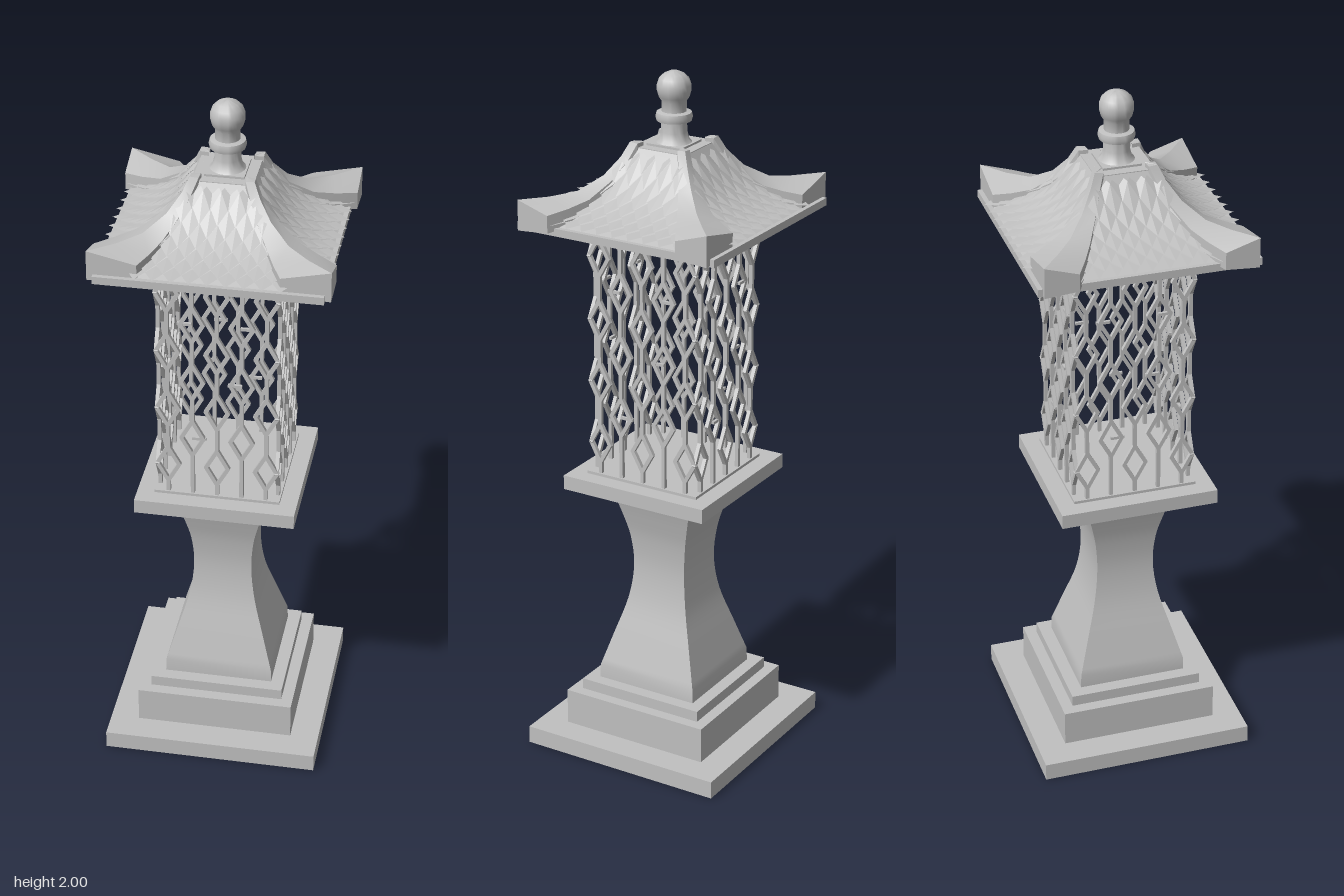
import * as THREE from 'three';
import { mergeGeometries, toCreasedNormals } from 'three/addons/utils/BufferGeometryUtils.js';

const stone = new THREE.MeshStandardMaterial({ color: 0xc0c0c0, side: THREE.DoubleSide });
stone.name = 'greyStone';

function add(parent, name, geometry) {
  const mesh = new THREE.Mesh(geometry, stone);
  mesh.name = name;
  parent.add(mesh);
  return mesh;
}

// Square slab given by half width and its bottom and top heights
function slab(parent, name, half, y0, y1) {
  add(parent, name, new THREE.BoxGeometry(half * 2, y1 - y0, half * 2)).position.y = (y0 + y1) / 2;
}

// Flat-faced geometry from quads of [x, y, z] corners
function fromQuads(quads) {
  const pos = [];
  for (const [a, b, c, d] of quads) pos.push(...a, ...b, ...c, ...a, ...c, ...d);
  const g = new THREE.BufferGeometry();
  g.setAttribute('position', new THREE.Float32BufferAttribute(pos, 3));
  g.computeVertexNormals();
  return g;
}

// Square bar between two points of a lattice panel
function bar(x0, y0, x1, y1, w = 0.011) {
  const dx = x1 - x0, dy = y1 - y0;
  const g = new THREE.BoxGeometry(w, Math.hypot(dx, dy) + w * 0.4, w);
  g.rotateZ(-Math.atan2(dx, dy));
  g.translate((x0 + x1) / 2, (y0 + y1) / 2, 0);
  return g;
}

// One lattice side: alternating chains of tall diamonds and straight links
function latticePanel() {
  const bars = [], y0 = 0.845, y1 = 1.59, pitch = 0.184, step = 0.069, hw = 0.031, hh = 0.056;
  for (let c = -2; c <= 2; c++) {
    const x = c * step, odd = c % 2 !== 0;
    let y = y0;
    for (let k = 0; k < (odd ? 3 : 4); k++) {
      const m = 0.942 + k * pitch + (odd ? pitch / 2 : 0);
      bars.push(bar(x, y, x, m - hh));
      for (const s of [-1, 1]) {
        bars.push(bar(x, m - hh, x + s * hw, m), bar(x + s * hw, m, x, m + hh));
      }
      y = m + hh;
    }
    bars.push(bar(x, y, x, y1));
  }
  // A few short cross ties
  for (const [x, y] of [[-0.09, 1.402], [0.085, 1.402], [0.05, 1.218], [-0.05, 1.034]]) {
    bars.push(bar(x - 0.018, y, x + 0.018, y, 0.008));
  }
  return mergeGeometries(bars);
}

// Roof slope: distance from centre, height, half width
const slope = [
  [0.3, 1.605, 0.205], [0.26, 1.62, 0.185], [0.22, 1.64, 0.165], [0.18, 1.668, 0.14],
  [0.15, 1.697, 0.122], [0.12, 1.735, 0.1], [0.1, 1.765, 0.085], [0.083, 1.793, 0.072],
];

function slopeAt(d) {
  if (d >= slope[0][0]) return [slope[0][1] - (d - 0.3) * 0.3, slope[0][2]];
  for (let i = 1; i < slope.length; i++) {
    const [d0, y0, w0] = slope[i - 1], [d1, y1, w1] = slope[i];
    if (d >= d1) {
      const t = (d0 - d) / (d0 - d1);
      return [y0 + (y1 - y0) * t, w0 + (w1 - w0) * t];
    }
  }
  return slope[slope.length - 1].slice(1);
}

function slopeGeometry() {
  const quads = [];
  for (let i = 1; i < slope.length; i++) {
    const [d0, y0, w0] = slope[i - 1], [d1, y1, w1] = slope[i];
    quads.push([[-w0, y0, d0], [w0, y0, d0], [w1, y1, d1], [-w1, y1, d1]]);
  }
  return toCreasedNormals(fromQuads(quads), 0.6);
}

// Staggered rows of kite-shaped tiles with lifted tips
function tileGeometry() {
  const quads = [], pitch = 0.0484;
  for (let r = 0; r < 8; r++) {
    const d = 0.318 - r * 0.0265, limit = slopeAt(d)[1] - 0.008;
    const at = (x, dist, lift) => [x, slopeAt(dist)[0] + lift, dist];
    for (let c = -5; c <= 5; c++) {
      const x = (c + (r % 2) / 2) * pitch;
      if (Math.abs(x) > limit) continue;
      quads.push([
        at(x, d, 0.017), at(x + pitch / 2, d - 0.034, 0.01),
        at(x, d - 0.064, 0.003), at(x - pitch / 2, d - 0.034, 0.01),
      ]);
    }
  }
  return fromQuads(quads);
}

// Corner ridge: left edge, crest, right edge and side depth at each station
function hipGeometry() {
  const stations = [
    [[0.19, 1.645, 0.295], [0.325, 1.675, 0.295], [0.325, 1.645, 0.2], 0.05],
    [[0.165, 1.655, 0.25], [0.255, 1.674, 0.238], [0.27, 1.655, 0.168], 0.05],
    [[0.14, 1.67, 0.2], [0.195, 1.682, 0.187], [0.213, 1.67, 0.138], 0.05],
    [[0.107, 1.712, 0.148], [0.14, 1.72, 0.138], [0.152, 1.712, 0.105], 0.045],
    [[0.08, 1.762, 0.108], [0.105, 1.768, 0.105], [0.108, 1.762, 0.08], 0.04],
    [[0.063, 1.806, 0.087], [0.087, 1.808, 0.087], [0.087, 1.806, 0.063], 0.04],
    [[0.06, 1.806, 0.062], [0.062, 1.808, 0.062], [0.062, 1.806, 0.06], 0.04],
  ].map(([l, c, r, depth], i) => {
    const low = (p) => [p[0], p[1] - depth, p[2]];
    const corner = i === 0 ? [c[0], 1.588, c[2]] : low(c);
    return [l, c, r, low(r), corner, low(l)];
  });
  const quads = [];
  for (let i = 0; i + 1 < stations.length; i++) {
    const a = stations[i], b = stations[i + 1];
    for (let j = 0; j < 6; j++) {
      const k = (j + 1) % 6;
      quads.push([a[j], a[k], b[k], b[j]]);
    }
  }
  const [l, c, r, rb, cb, lb] = stations[0];
  quads.push([l, lb, cb, c], [c, cb, rb, r]);
  return toCreasedNormals(fromQuads(quads), 0.4);
}

export function createModel() {
  const model = new THREE.Group();
  model.name = 'stoneLantern';

  // Stepped foot
  slab(model, 'basePlate', 0.309, 0, 0.052);
  slab(model, 'baseBlock', 0.227, 0.052, 0.158);
  slab(model, 'baseStep', 0.194, 0.158, 0.19);

  // Waisted square pillar: half width by height
  const waist = new THREE.SplineCurve([
    [0.156, 0.23], [0.127, 0.33], [0.096, 0.44], [0.084, 0.54], [0.09, 0.63], [0.105, 0.7], [0.12, 0.755],
  ].map(([r, y]) => new THREE.Vector2(r, y))).getPoints(24);
  const profile = [new THREE.Vector2(0.157, 0.19), ...waist, new THREE.Vector2(0.12, 0.79)];
  for (const p of profile) p.x *= Math.SQRT2;
  const pillar = new THREE.LatheGeometry(profile, 4).rotateY(Math.PI / 4);
  add(model, 'pillar', toCreasedNormals(pillar, 0.5));

  // Lamp platform
  slab(model, 'platformUnderside', 0.179, 0.783, 0.802);
  slab(model, 'platform', 0.227, 0.802, 0.844);
  slab(model, 'platformTop', 0.178, 0.844, 0.852);

  // Lattice cage, eave and tiled slopes on all four sides
  const panel = latticePanel(), face = slopeGeometry(), tiles = tileGeometry();
  for (let i = 0; i < 4; i++) {
    const side = new THREE.Group();
    side.name = 'side' + (i + 1);
    side.rotation.y = i * Math.PI / 2;
    add(side, 'latticePanel', panel).position.z = 0.168;
    add(side, 'roofSlope', face);
    add(side, 'roofTiles', tiles);
    model.add(side);
  }
  slab(model, 'eavePlate', 0.308, 1.585, 1.607);

  // Corner ridges mirrored to the four corners
  const hip = hipGeometry();
  for (const sx of [-1, 1]) for (const sz of [-1, 1]) {
    add(model, 'cornerRidge', hip).scale.set(sx, 1, sz);
  }

  // Roof cap and finial
  slab(model, 'roofCap', 0.083, 1.765, 1.795);
  slab(model, 'finialBase', 0.054, 1.79, 1.801);
  const finial = [
    [0.05, 1.8], [0.041, 1.81], [0.036, 1.83], [0.035, 1.858], [0.048, 1.861], [0.051, 1.872],
    [0.048, 1.884], [0.034, 1.887], [0.034, 1.915], [0.042, 1.927], [0.047, 1.945], [0.047, 1.96],
    [0.041, 1.977], [0.029, 1.989], [0.012, 1.997], [0, 2],
  ].map(([r, y]) => new THREE.Vector2(r, y));
  add(model, 'finial', toCreasedNormals(new THREE.LatheGeometry(finial, 32), 0.8));

  return model;
}
